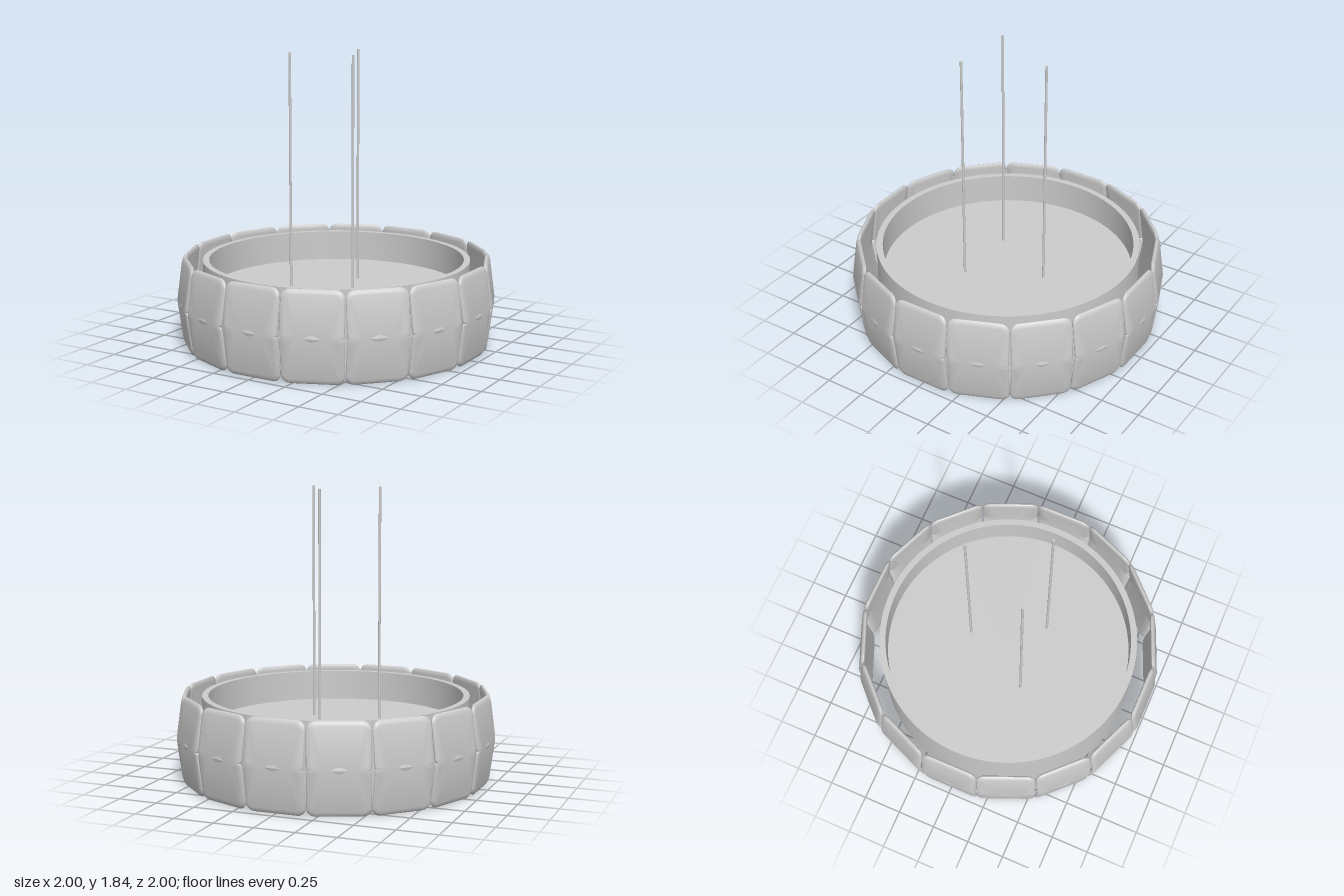
import * as THREE from 'three';
import { toCreasedNormals } from 'three/addons/utils/BufferGeometryUtils.js';

const material = new THREE.MeshStandardMaterial({ color: 0xcccccc, side: THREE.DoubleSide });

const MID = 0.285;      // height of the panel fold
const HALF_W = 0.188, HALF_H = 0.28;

function addMesh(parent, name, geometry) {
  const mesh = new THREE.Mesh(geometry, material);
  mesh.name = name;
  parent.add(mesh);
  return mesh;
}

// Turned part with sharp edges, from [radius, y] points
function turned(points) {
  const lathe = new THREE.LatheGeometry(points.map(([r, y]) => new THREE.Vector2(r, y)), 96);
  return toCreasedNormals(lathe, 0.6);
}

// Rounded rectangle, counter-clockwise, with a small pinch at the middle of each side
function outline(inset) {
  const w = HALF_W - inset, h = HALF_H - inset, r = Math.max(0.055 - inset, 0.015);
  const quarter = [[w - 0.01, 0], [w - 0.003, 0.008], [w, 0.022]];
  for (let i = 0; i <= 6; i++) {
    const a = (i / 6) * Math.PI / 2;
    quarter.push([w - r + r * Math.cos(a), h - r + r * Math.sin(a)]);
  }
  const right = [...quarter.slice(1).reverse().map(([x, y]) => [x, -y]), ...quarter];
  return [...right, ...right.map(([x, y]) => [-x, -y])];
}

// Pillow-edged panel, folded outward along its horizontal middle
function panelGeometry() {
  const line = (z) => outline(0.03).map(([x, y]) => [x * 0.6, 0, z]);
  const loop = (inset, z) => outline(inset).map(([x, y]) => [x, y, z]);
  const loops = [
    line(-0.016), loop(0.03, -0.016), loop(0.013, -0.013), loop(0.003, -0.007), loop(0, 0),
    loop(0.003, 0.007), loop(0.013, 0.013), loop(0.03, 0.016), line(0.016),
  ];
  const n = loops[0].length, positions = [], index = [];
  for (const ring of loops) {
    for (const [x, y, z] of ring) positions.push(x, y, z + 0.038 * (1 - Math.abs(y) / HALF_H));
  }
  for (let i = 0; i < loops.length - 1; i++) {
    for (let j = 0; j < n; j++) {
      const a = i * n + j, b = i * n + (j + 1) % n;
      index.push(a, b, a + n, b, b + n, a + n);
    }
  }
  const geometry = new THREE.BufferGeometry();
  geometry.setAttribute('position', new THREE.Float32BufferAttribute(positions, 3));
  geometry.setIndex(index);
  return toCreasedNormals(geometry, 0.6);
}

export function createModel() {
  const model = new THREE.Group();
  model.name = 'pendantLamp';

  // Drum wall with a closed plate inside it
  addMesh(model, 'drum', turned([
    [0, 0.27], [0.805, 0.27], [0.805, 0.03], [0.845, 0.03],
    [0.845, 0.54], [0.805, 0.54], [0.805, 0.345], [0, 0.345],
  ]));

  // Concentric rings under the plate
  for (const [inner, outer] of [[0.14, 0.165], [0.345, 0.37], [0.495, 0.52]]) {
    addMesh(model, 'lightRing', turned([
      [inner, 0.272], [inner, 0.255], [outer, 0.255], [outer, 0.272],
    ]));
  }

  // Sixteen folded panels, each with a small diamond on its fold
  const panel = panelGeometry();
  const diamond = new THREE.OctahedronGeometry(1);
  diamond.scale(0.09, 0.02, 0.005);
  const panels = new THREE.Group();
  panels.name = 'panels';
  for (let i = 0; i < 16; i++) {
    const holder = new THREE.Group();
    holder.name = 'panel';
    holder.rotation.y = (i / 16) * Math.PI * 2;
    addMesh(holder, 'panelBody', panel).position.set(0, MID, 0.943);
    addMesh(holder, 'panelDiamond', diamond).position.set(0, MID, 0.995);
    panels.add(holder);
  }
  model.add(panels);

  // Three suspension rods
  const rod = new THREE.CylinderGeometry(0.008, 0.008, 1.5, 16);
  for (const [x, z] of [[0, -0.27], [-0.225, 0.185], [0.225, 0.185]]) {
    addMesh(model, 'suspensionRod', rod).position.set(x, 1.09, z);
  }
  return model;
}
